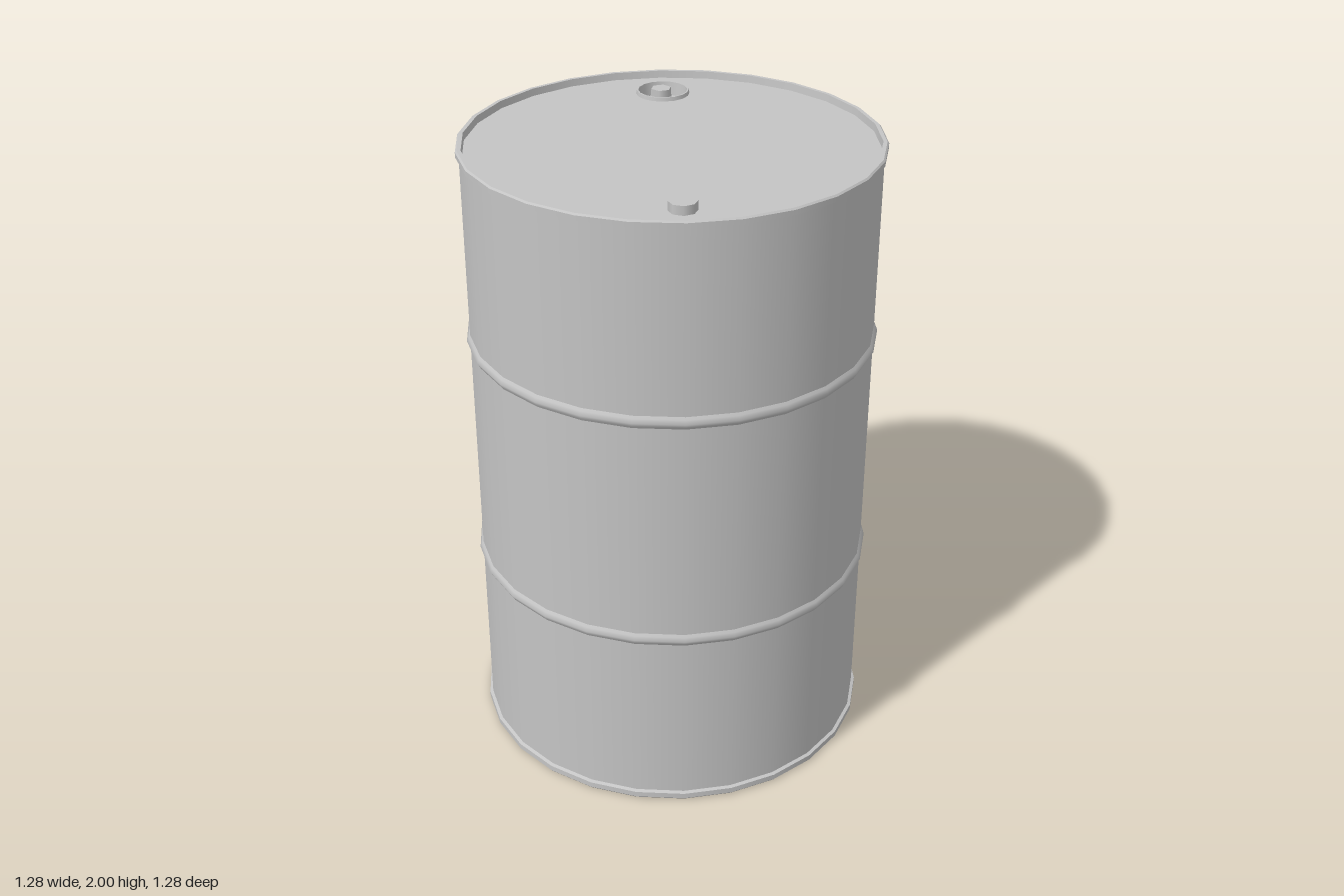
import * as THREE from 'three';
import { mergeGeometries } from 'three/addons/utils/BufferGeometryUtils.js';

const SIDES = 26;
const START = Math.PI * 0.75; // puts a corner in line with the bungs
const LID_Y = 1.972;
const BASE_Y = 0.012;

const points = (list) => list.map(([r, y]) => new THREE.Vector2(r, y));

// Smooth around the axis and along the profile
const smoothLathe = (profile, sides = SIDES) =>
  new THREE.LatheGeometry(points(profile), sides, START);

// Smooth around the axis, with a sharp edge at every profile point
const creasedLathe = (profile, sides = SIDES) =>
  mergeGeometries(profile.slice(1).map((p, i) => smoothLathe([profile[i], p], sides)));

export function createModel() {
  const group = new THREE.Group();
  group.name = 'drum';
  const steel = new THREE.MeshStandardMaterial({ color: 0xc4c4c4 });
  steel.name = 'grey steel';

  const add = (name, geometry, x = 0, y = 0, z = 0) => {
    const mesh = new THREE.Mesh(geometry, steel);
    mesh.name = name;
    mesh.position.set(x, y, z);
    group.add(mesh);
    return mesh;
  };

  // Wall in three lengths, with a rolling hoop between each
  const hoops = [0.625, 1.38];
  const R = 0.628;
  [[0.02, hoops[0] - 0.02], [hoops[0] + 0.02, hoops[1] - 0.02], [hoops[1] + 0.02, 1.98]]
    .forEach(([a, b]) => add('wall', smoothLathe([[R, a], [R, b]])));
  hoops.forEach((y) => add('rollingHoop', smoothLathe(
    [[R, y - 0.02], [0.633, y - 0.012], [0.639, y], [0.633, y + 0.012], [R, y + 0.02]])));

  // Folded rims at both ends
  add('topRim', creasedLathe(
    [[R, 1.972], [0.638, 1.975], [0.638, 1.99], [0.633, 1.995], [0.621, 1.995], [0.619, LID_Y]]));
  add('bottomRim', creasedLathe(
    [[0.619, BASE_Y], [0.621, 0], [0.633, 0], [0.638, 0.006], [0.638, 0.024], [R, 0.028]]));

  // Lid with an opening for the large bung
  const bung = 0.33;
  const outline = [];
  for (let i = 0; i < SIDES; i++) {
    const a = Math.PI / 4 + (i / SIDES) * Math.PI * 2;
    outline.push(new THREE.Vector2(0.62 * Math.cos(a), 0.62 * Math.sin(a)));
  }
  const lid = new THREE.Shape(outline);
  const opening = new THREE.Path();
  opening.absarc(bung, bung, 0.08, 0, Math.PI * 2, true);
  lid.holes.push(opening);
  add('lid', new THREE.ShapeGeometry(lid, 8).rotateX(-Math.PI / 2), 0, LID_Y, 0);

  // Base disc
  add('base', new THREE.ShapeGeometry(new THREE.Shape(outline)).rotateX(Math.PI / 2), 0, BASE_Y, 0);

  // Large bung: raised lip, sunken well and an off-centre plug
  add('bungWell', creasedLathe(
    [[0.085, 0], [0.083, 0.012], [0.078, 0.012], [0.074, -0.03], [0, -0.03]], 16),
  bung, LID_Y, -bung);
  add('bungPlug', new THREE.CylinderGeometry(0.033, 0.035, 0.036, 6), 0.35, LID_Y - 0.012, -0.355);

  // Small vent bung on the opposite side
  add('ventBung', new THREE.CylinderGeometry(0.042, 0.042, 0.028, 8), -0.357, LID_Y + 0.014, 0.355);

  return group;
}
